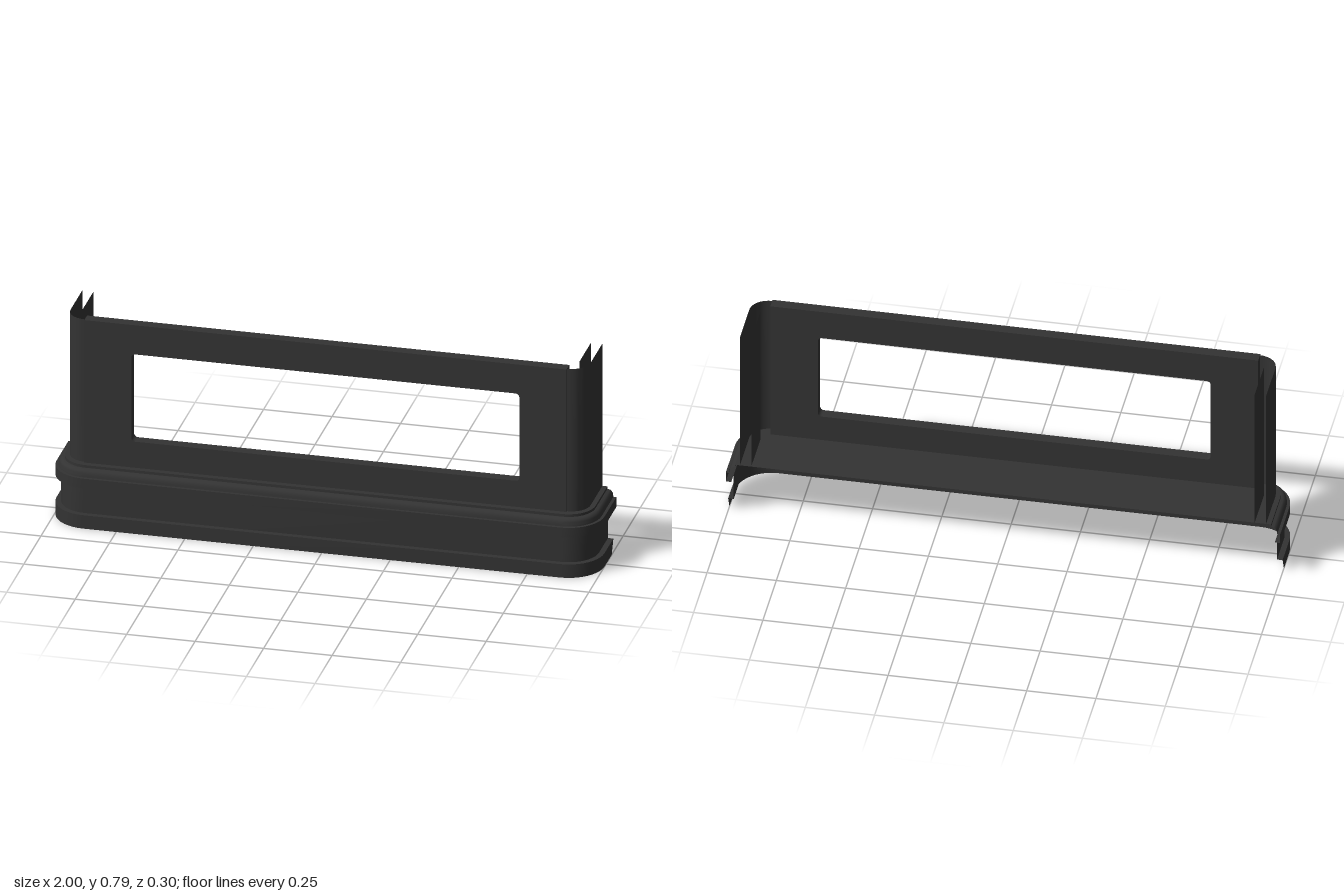
import * as THREE from 'three';
import { toCreasedNormals } from 'three/addons/utils/BufferGeometryUtils.js';

const material = new THREE.MeshStandardMaterial({ color: 0x333333, side: THREE.DoubleSide });
const BACK = -0.152, WALL_BASE = 0.232, WALL_TOP = 0.785;

// Skin between rows of points, rows running bottom to top
function skin(name, rows) {
  const n = rows[0].length;
  const index = [];
  for (let j = 0; j < rows.length - 1; j++) {
    for (let i = 0; i < n - 1; i++) {
      const a = j * n + i, b = a + 1, c = a + n, d = c + 1;
      index.push(a, c, b, b, c, d);
    }
  }
  const geometry = new THREE.BufferGeometry().setFromPoints(rows.flat());
  geometry.setIndex(index);
  return add(name, toCreasedNormals(geometry, 0.5));
}

function add(name, geometry) {
  const mesh = new THREE.Mesh(geometry, material);
  mesh.name = name;
  return mesh;
}

// Quarter arc in plan, from the side round to the front
function arc(cx, cz, r, y, steps = 10) {
  return Array.from({ length: steps + 1 }, (_, i) => {
    const t = (i / steps) * Math.PI / 2;
    return new THREE.Vector3(cx + r * Math.cos(t), y, cz + r * Math.sin(t));
  });
}

// U-shaped plan outline, inset from the widest line, ending at backZ
function outline(inset, y, backZ) {
  const half = [new THREE.Vector3(1 - inset, y, backZ), ...arc(0.87, 0.022, 0.13 - inset, y)];
  const mirrored = half.map(p => new THREE.Vector3(-p.x, p.y, p.z)).reverse();
  return [...half, ...mirrored];
}

// Skirt or moulding from [inset, height, back end] profile points
const sweep = (name, profile) => skin(name, profile.map(p => outline(...p)));

function createFrontPanel() {
  const shape = new THREE.Shape();
  shape.moveTo(-0.88, WALL_BASE);
  shape.lineTo(0.88, WALL_BASE);
  shape.lineTo(0.88, WALL_TOP);
  shape.lineTo(-0.88, WALL_TOP);
  shape.closePath();

  // Window opening with small rounded corners
  const x = 0.708, y0 = 0.333, y1 = 0.672, r = 0.014;
  const hole = new THREE.Path();
  hole.absarc(x - r, y1 - r, r, 0, Math.PI / 2);
  hole.absarc(-x + r, y1 - r, r, Math.PI / 2, Math.PI);
  hole.absarc(-x + r, y0 + r, r, Math.PI, Math.PI * 1.5);
  hole.absarc(x - r, y0 + r, r, Math.PI * 1.5, Math.PI * 2);
  hole.closePath();
  shape.holes.push(hole);

  const geometry = new THREE.ExtrudeGeometry(shape, { depth: 0.041, bevelEnabled: false, curveSegments: 5 });
  geometry.translate(0, 0, 0.057);
  return add('frontPanel', geometry);
}

// Curved corner, outer side sheet and parallel inner sheet
function createSideWall(name, mirror) {
  const group = new THREE.Group();
  group.name = name;
  const heights = [WALL_BASE, WALL_TOP];
  group.add(skin('cornerWall', heights.map(y => arc(0.88, 0.022, 0.069, y))));
  for (const [part, x] of [['outerSideSheet', 0.949], ['innerSideSheet', 0.908]]) {
    group.add(skin(part, heights.map(y => [
      new THREE.Vector3(x, y, BACK), new THREE.Vector3(x, y, 0.022),
    ])));
  }
  group.scale.x = mirror;
  return group;
}

export function createModel() {
  const model = new THREE.Group();
  model.name = 'windowFascia';

  // Lower skirt with a raised foot band and a slanted back end
  model.add(sweep('lowerSkirt', [
    [0, 0, -0.083], [0, 0.052, -0.108], [0.02, 0.052, -0.108], [0.02, 0.156, -0.114],
  ]));

  // Stepped moulding with a rounded shoulder
  const shoulder = [0, 0.25, 0.5, 0.75, 1].map(t => [
    0.012 + 0.018 * (1 - Math.cos(t * Math.PI / 2)),
    0.201 + 0.021 * Math.sin(t * Math.PI / 2),
    BACK,
  ]);
  model.add(sweep('moulding', [
    [0.02, 0.156, BACK], [0, 0.156, BACK], [0, 0.194, BACK], [0.011, 0.194, BACK],
    ...shoulder, [0.033, 0.222, BACK], [0.033, WALL_BASE, BACK],
  ]));

  // Floor inside the moulding
  const plan = outline(0.033, 0, BACK).map(p => new THREE.Vector2(p.x, -p.z));
  const floor = new THREE.ShapeGeometry(new THREE.Shape(plan));
  floor.rotateX(-Math.PI / 2).translate(0, WALL_BASE, 0);
  model.add(add('floor', floor));

  // Upper walls
  model.add(createFrontPanel());
  model.add(createSideWall('leftWall', 1), createSideWall('rightWall', -1));
  return model;
}
